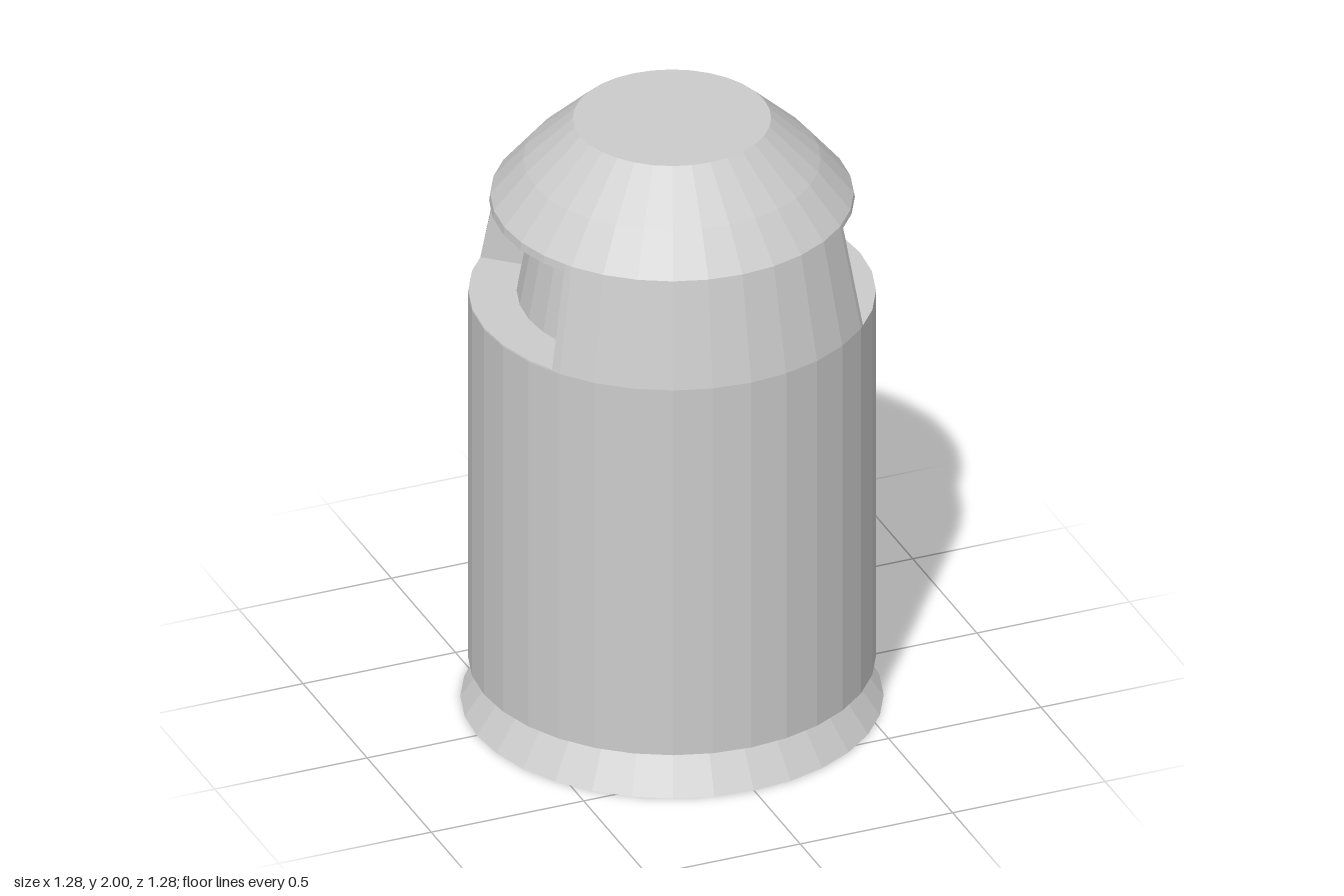
import * as THREE from 'three';

const SIDES = 32, STEP = 360 / SIDES;
const material = new THREE.MeshStandardMaterial({ color: 0xcccccc, flatShading: true, side: THREE.DoubleSide });

// Point on the faceted surface; angle in degrees, from +z towards +x
function ringPoint(r, y, deg) {
  const off = (((deg % STEP) + STEP) % STEP) - STEP / 2;
  const k = r * Math.cos(Math.PI / SIDES) / Math.cos(THREE.MathUtils.degToRad(off));
  const a = THREE.MathUtils.degToRad(deg);
  return [k * Math.sin(a), y, k * Math.cos(a)];
}

function meshFrom(positions, name) {
  const g = new THREE.BufferGeometry();
  g.setAttribute('position', new THREE.Float32BufferAttribute(positions, 3));
  g.computeVertexNormals();
  const mesh = new THREE.Mesh(g, material);
  mesh.name = name;
  return mesh;
}

// Revolve a bottom-to-top profile of [radius, y] between two angles, keeping the facet grid
function revolve(name, profile, from = 0, to = 360) {
  const angles = [from];
  for (let a = Math.floor(from / STEP + 1) * STEP; a < to - 0.01; a += STEP) angles.push(a);
  angles.push(to);
  const pos = [];
  for (let i = 0; i < angles.length - 1; i++) {
    for (let j = 0; j < profile.length - 1; j++) {
      const a = ringPoint(...profile[j], angles[i]);
      const b = ringPoint(...profile[j], angles[i + 1]);
      const c = ringPoint(...profile[j + 1], angles[i + 1]);
      const d = ringPoint(...profile[j + 1], angles[i]);
      pos.push(...a, ...b, ...c, ...a, ...c, ...d);
    }
  }
  return meshFrom(pos, name);
}

export function createModel() {
  const model = new THREE.Group();
  model.name = 'canister';

  // Flared foot and main barrel
  model.add(revolve('foot', [[0, 0], [0.64, 0], [0.545, 0.137]]));
  model.add(revolve('barrel', [[0.545, 0.137], [0.617, 0.137], [0.617, 1.4]]));

  // Faceted dome with a flat top
  model.add(revolve('dome', [[0.55, 1.74], [0.45, 1.86], [0.3, 2], [0, 2]]));

  // Tapered shoulder between the two side slots
  const shoulder = [[0.617, 1.4], [0.55, 1.74]];
  model.add(revolve('frontShoulder', shoulder, -59, 47));
  model.add(revolve('backShoulder', shoulder, 133, 228));

  // Recessed side slots: floor, inner wall, sloping ceiling, lip and end walls
  const slots = [
    { name: 'leftSlot', from: 47, to: 133, floor: 1.4, roof: 1.725 },
    { name: 'rightSlot', from: 228, to: 301, floor: 1.405, roof: 1.715 },
  ];
  for (const { name, from, to, floor, roof } of slots) {
    const section = [[0.616, floor], [0.47, floor], [0.42, roof - 0.033], [0.553, roof]];
    const slot = new THREE.Group();
    slot.name = name;
    slot.add(revolve(name + 'Recess', [[0.617, 1.4], ...section, [0.55, 1.74]], from, to));
    for (const deg of [from, to]) {
      const [a, b, c, d] = section.map(([r, y]) => ringPoint(r, y, deg));
      const wall = deg === from ? [a, c, b, a, d, c] : [a, b, c, a, c, d];
      slot.add(meshFrom(wall.flat(), name + 'EndWall'));
    }
    model.add(slot);
  }
  return model;
}
